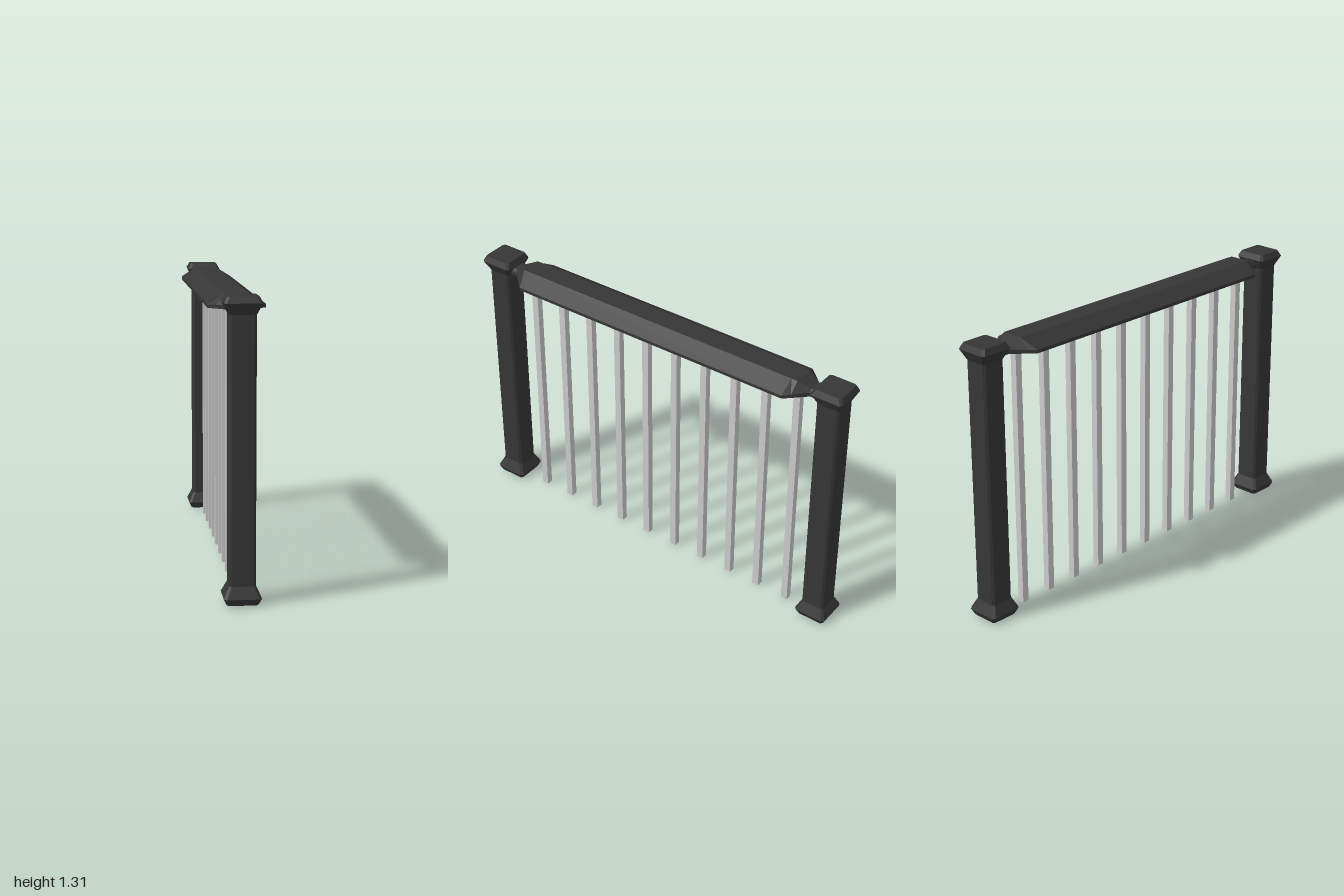
import * as THREE from 'three';

const dark = new THREE.MeshStandardMaterial({ color: 0x363636, flatShading: true });
const grey = new THREE.MeshStandardMaterial({ color: 0xcccccc, flatShading: true });

// Skin a series of equal-length rings (counter-clockwise about the sweep axis) and cap both ends
function loft(rings) {
  const n = rings[0].length;
  const index = [];
  for (let i = 0; i < rings.length - 1; i++) {
    for (let j = 0; j < n; j++) {
      const k = (j + 1) % n;
      const a = i * n + j, b = i * n + k, c = a + n, d = b + n;
      index.push(a, b, d, a, d, c);
    }
  }
  const last = (rings.length - 1) * n;
  for (let j = 1; j < n - 1; j++) {
    index.push(0, j + 1, j, last, last + j, last + j + 1);
  }
  const geometry = new THREE.BufferGeometry();
  geometry.setAttribute('position', new THREE.Float32BufferAttribute(rings.flat(2), 3));
  geometry.setIndex(index);
  const flat = geometry.toNonIndexed();
  flat.computeVertexNormals();
  return flat;
}

// Square ring with clipped corners at height y
function postRing(y, w, c) {
  const s = w - c;
  return [[s, w], [w, s], [w, -s], [s, -w], [-s, -w], [-w, -s], [-w, s], [-s, w]]
    .map(([x, z]) => [x, y, z]);
}

// Handrail cross-section: flat underside, short edges, sloped shoulders, flat top
function railRing(z, w, edge, p, top) {
  const bottom = 1.24;
  return [[-w, bottom], [w, bottom], [w, edge], [p, top], [-p, top], [-w, edge]]
    .map(([x, y]) => [x, y, z]);
}

export function createModel() {
  const model = new THREE.Group();
  const add = (name, geometry, material, z = 0) => {
    const mesh = new THREE.Mesh(geometry, material);
    mesh.name = name;
    mesh.position.z = z;
    model.add(mesh);
    return mesh;
  };

  // End posts with flared base and cap: height, half width, corner cut
  const post = loft([
    [0.006, 0.067, 0.01], [0.035, 0.081, 0.012], [0.086, 0.057, 0.01],
    [1.234, 0.057, 0.01], [1.283, 0.081, 0.012], [1.31, 0.067, 0.01],
  ].map((r) => postRing(...r)));
  add('frontPost', post, dark, 0.919);
  add('backPost', post, dark, -0.919);

  // Handrail, necked down where it meets each post: z, half width, edge height, top half width, top height
  const end = [
    [0.87, 0.04, 1.26, 0.03, 1.275], [0.82, 0.04, 1.26, 0.03, 1.275],
    [0.76, 0.097, 1.256, 0.05, 1.302], [0.73, 0.125, 1.255, 0.05, 1.302],
  ];
  const rail = [
    ...end.map(([z, ...r]) => railRing(-z, ...r)),
    ...end.slice().reverse().map((r) => railRing(...r)),
  ];
  add('handrail', loft(rail), dark);

  // Evenly spaced balusters
  const count = 10, reach = 0.738, height = 1.232;
  const bar = new THREE.BoxGeometry(0.032, height, 0.033);
  for (let i = 0; i < count; i++) {
    const z = reach - 0.004 - (2 * reach * i) / (count - 1);
    add(`baluster${i + 1}`, bar, grey, z).position.y = height / 2;
  }

  return model;
}
